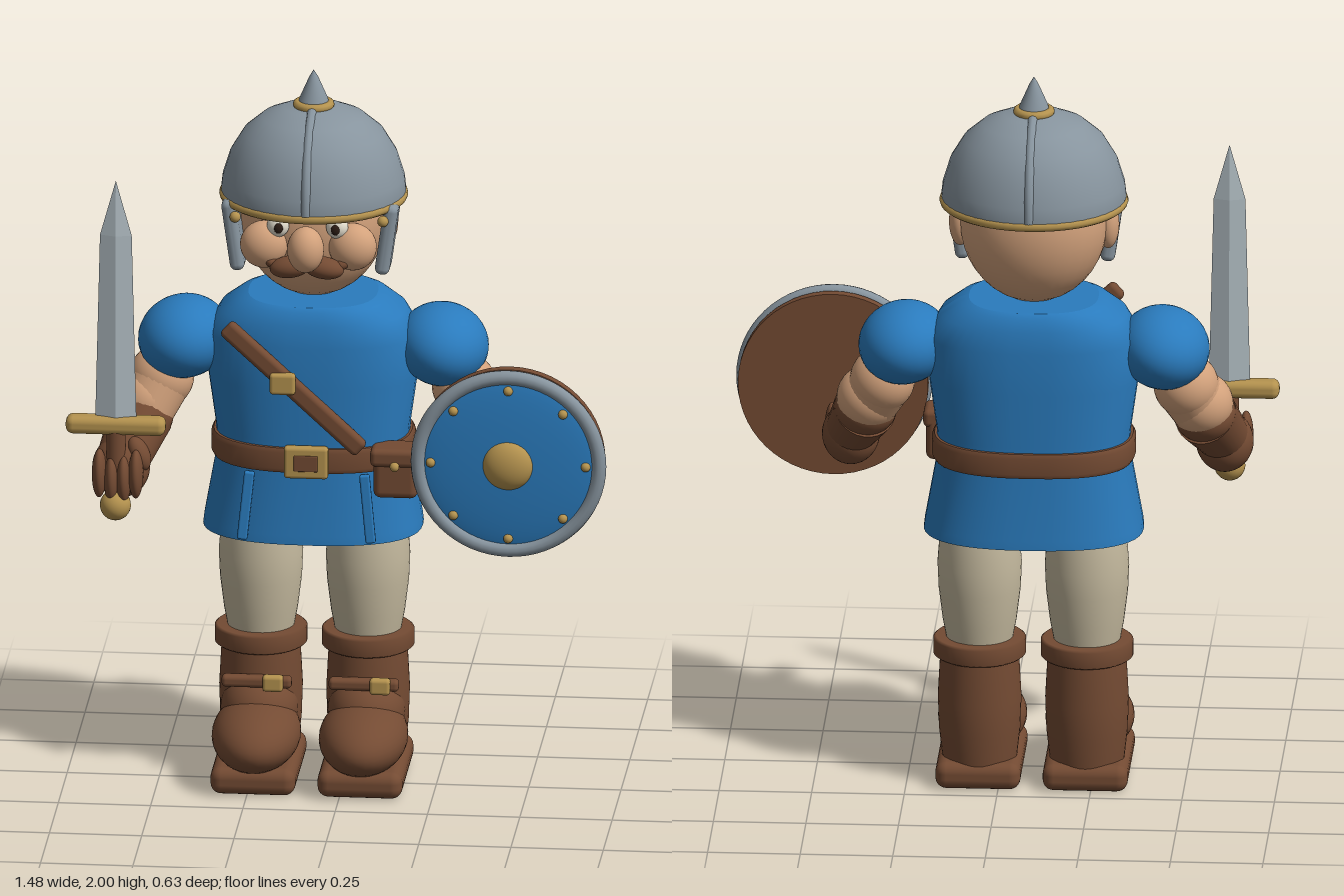
import * as THREE from 'three';
import { RoundedBoxGeometry } from 'three/addons/geometries/RoundedBoxGeometry.js';

const mat = (name, color, side = THREE.FrontSide) => {
  const m = new THREE.MeshStandardMaterial({ color, side });
  m.name = name;
  return m;
};

export function createModel() {
  const blue = mat('tunic blue', 0x2a7bbd);
  const steel = mat('helmet steel', 0x87949e, THREE.DoubleSide);
  const bladeSteel = mat('blade steel', 0xb0bcc2);
  const brown = mat('boot brown', 0x744b33);
  const gold = mat('brass', 0xb5934f);
  const skin = mat('skin', 0xd3a27c);
  const cream = mat('trouser cream', 0xc4b99e);
  const dark = mat('dark eye', 0x2b1c14);
  const eyeWhite = mat('eye white', 0xe6e0d0);

  const model = new THREE.Group();
  const body = new THREE.Group();
  body.name = 'soldier';
  body.position.x = -0.09;
  model.add(body);

  const V = (x, y, z) => new THREE.Vector3(x, y, z);
  const put = (name, geo, m, x = 0, y = 0, z = 0, parent = body) => {
    const mesh = new THREE.Mesh(geo, m);
    mesh.name = name;
    mesh.position.set(x, y, z);
    parent.add(mesh);
    return mesh;
  };
  const ball = (name, m, x, y, z, rx, ry = rx, rz = rx) =>
    put(name, new THREE.SphereGeometry(1, 32, 20).scale(rx, ry, rz), m, x, y, z);
  const box = (name, m, x, y, z, w, h, d, r = 0.01) =>
    put(name, new RoundedBoxGeometry(w, h, d, 3, r), m, x, y, z);
  const limb = (name, m, a, b, ra, rb) => {
    const mid = a.clone().add(b).multiplyScalar(0.5), dir = b.clone().sub(a);
    const mesh = put(name, new THREE.CylinderGeometry(rb, ra, dir.length(), 28), m, mid.x, mid.y, mid.z);
    mesh.quaternion.setFromUnitVectors(V(0, 1, 0), dir.normalize());
    return mesh;
  };
  const lathe = (pts) => new THREE.LatheGeometry(pts.map((p) => new THREE.Vector2(...p)), 40);

  // Loft of squarish ovals [y, rx, rz], closed at both ends
  const loft = (rows, n = 48, power = 2.5) => {
    const pos = [], idx = [];
    const row = (y, rx, rz) => {
      for (let i = 0; i <= n; i++) {
        const t = (i / n) * Math.PI * 2, c = Math.cos(t), s = Math.sin(t);
        pos.push(rx * Math.sign(c) * Math.abs(c) ** (2 / power), y, rz * Math.sign(s) * Math.abs(s) ** (2 / power));
      }
    };
    const [first, last] = [rows[0], rows[rows.length - 1]];
    const all = [[first[0], 0, 0], first, ...rows, last, [last[0], 0, 0]];
    all.forEach((r) => row(...r));
    for (let j = 0; j < all.length - 1; j++) {
      if (j === 1 || j === all.length - 3) continue;
      for (let i = 0; i < n; i++) {
        const a = j * (n + 1) + i, b = a + n + 1;
        idx.push(a, b, a + 1, b, b + 1, a + 1);
      }
    }
    const g = new THREE.BufferGeometry();
    g.setAttribute('position', new THREE.Float32BufferAttribute(pos, 3));
    g.setIndex(idx);
    g.computeVertexNormals();
    return g;
  };

  // Tunic and belt
  put('tunic', loft([[0.715, 0.297, 0.208], [0.74, 0.294, 0.207], [0.93, 0.26, 0.19], [1, 0.262, 0.19],
    [1.15, 0.283, 0.195], [1.27, 0.286, 0.195], [1.33, 0.25, 0.185], [1.365, 0.2, 0.17], [1.375, 0.175, 0.155]]),
  blue, 0, 0, -0.075);
  put('belt', loft([[0.918, 0.268, 0.2], [0.93, 0.275, 0.205], [0.975, 0.275, 0.205], [0.987, 0.268, 0.2]]),
    brown, 0, 0, -0.075);
  box('beltBuckle', gold, 0, 0.953, 0.133, 0.12, 0.09, 0.03);
  box('buckleCentre', brown, 0, 0.953, 0.147, 0.065, 0.045, 0.009, 0.003);
  box('pouch', brown, 0.24, 0.92, 0.085, 0.12, 0.135, 0.09, 0.02);
  box('pouchFlap', brown, 0.24, 0.97, 0.09, 0.135, 0.05, 0.1, 0.015);
  ball('pouchButton', gold, 0.24, 0.95, 0.142, 0.013);
  for (const s of [-1, 1]) {
    const fold = box('skirtFold', blue, s * 0.165, 0.82, 0.118, 0.028, 0.19, 0.02, 0.006);
    fold.rotation.set(-0.08, 0, s * 0.1);
  }

  // Diagonal chest strap
  const strap = box('chestStrap', brown, -0.035, 1.16, 0.125, 0.052, 0.5, 0.035, 0.014);
  strap.rotation.z = 0.825;
  box('strapBuckle', gold, -0.063, 1.178, 0.142, 0.07, 0.06, 0.028);

  // Head and face
  ball('head', skin, 0, 1.59, -0.08, 0.2, 0.225, 0.172);
  ball('nose', skin, 0, 1.565, 0.15, 0.05, 0.064, 0.052);
  for (const s of [-1, 1]) {
    ball('ear', skin, s * 0.2, 1.58, -0.07, 0.03, 0.068, 0.038);
    ball('cheek', skin, s * 0.12, 1.55, 0.07, 0.065, 0.065, 0.055);
    ball('eye', eyeWhite, s * 0.08, 1.612, 0.09, 0.03, 0.033, 0.025);
    ball('pupil', dark, s * 0.077, 1.61, 0.112, 0.012, 0.015, 0.007);
    ball('moustache', brown, s * 0.045, 1.503, 0.115, 0.056, 0.03, 0.035).rotation.z = -s * 0.15;
    ball('moustacheTip', brown, s * 0.09, 1.508, 0.1, 0.028, 0.016, 0.022).rotation.z = s * 0.45;
    const flap = box('cheekGuard', steel, s * 0.208, 1.56, 0, 0.04, 0.2, 0.1, 0.018);
    flap.rotation.z = -s * 0.14;
    ball('guardRivet', gold, s * 0.2, 1.618, 0.052, 0.015);
  }

  // Helmet
  const helmet = put('helmet', lathe([[0.248, 1.645], [0.25, 1.665], [0.246, 1.7], [0.226, 1.765], [0.19, 1.825],
    [0.14, 1.868], [0.08, 1.894], [0, 1.903]]), steel, 0, 0, -0.08);
  helmet.scale.z = 0.94;
  const rim = put('helmetRim', new THREE.TorusGeometry(0.242, 0.013, 10, 56).rotateX(Math.PI / 2), gold, 0, 1.65, -0.08);
  rim.scale.z = 0.94;
  const ridge = new THREE.TorusGeometry(0.242, 0.012, 8, 40, Math.PI).rotateY(Math.PI / 2).scale(1.1, 1, 0.95);
  put('helmetRidge', ridge, steel, 0, 1.66, -0.08);
  put('spikeCollar', new THREE.TorusGeometry(0.044, 0.012, 10, 32).rotateX(Math.PI / 2), gold, 0, 1.902, -0.08);
  put('spike', lathe([[0.045, 1.895], [0.038, 1.92], [0.012, 1.98], [0, 2]]), steel, 0, 0, -0.08);

  for (const s of [-1, 1]) {
    // Arms with gloved hands
    const elbow = V(s * 0.41, 1.12, -0.06), wrist = V(s * 0.46, 1.02, -0.015), hand = V(s * 0.505, 0.92, 0.09);
    ball('sleeve', blue, s * 0.35, 1.232, -0.073, 0.125, 0.11, 0.15).rotation.z = -s * 0.2;
    ball('elbow', skin, elbow.x, elbow.y, elbow.z, 0.088);
    limb('forearm', skin, elbow, wrist, 0.086, 0.078);
    ball('forearmMuscle', skin, s * 0.45, 1.06, -0.035, 0.086);
    limb('gloveCuff', brown, wrist, hand, 0.086, 0.07);
    ball('gloveCuffEdge', brown, wrist.x, wrist.y, wrist.z, 0.086, 0.075, 0.086);
    ball('fist', brown, hand.x, hand.y - 0.01, hand.z, 0.078, 0.085, 0.075);
    for (let i = 0; i < 4; i++)
      ball('finger', brown, s * (0.46 + i * 0.033), 0.9 + (i % 3 ? -0.008 : 0.008), 0.145, 0.02, 0.068, 0.042);
    ball('thumb', brown, s * 0.455, 0.955, 0.11, 0.028, 0.05, 0.035).rotation.z = -s * 0.4;

    // Legs and boots
    const x = s * 0.145, z = -0.105;
    put('trouserLeg', lathe([[0.085, 0.38], [0.1, 0.46], [0.111, 0.55], [0.114, 0.62], [0.108, 0.7], [0.095, 0.78]]),
      cream, x, 0, z);
    put('bootCuff', lathe([[0, 0.357], [0.118, 0.357], [0.125, 0.363], [0.125, 0.405], [0.118, 0.411], [0, 0.411]]),
      brown, x, 0, z);
    put('bootShaft', lathe([[0.1, 0.06], [0.11, 0.15], [0.113, 0.24], [0.106, 0.37]]), brown, x, 0, z);
    const foot = ball('bootFoot', brown, x, 0.14, 0.025, 0.12, 0.092, 0.19);
    foot.rotation.x = 0.06;
    ball('bootInstep', brown, x, 0.19, -0.06, 0.105, 0.1, 0.12);
    box('sole', brown, x, 0.0375, -0.03, 0.23, 0.075, 0.37, 0.03);
    box('bootStrap', brown, x, 0.284, 0.015, 0.19, 0.033, 0.035, 0.012);
    box('bootBuckle', gold, x + 0.045, 0.284, 0.03, 0.056, 0.045, 0.03);
  }

  // Sword: diamond section blade, guard, grip and pommel
  const sword = new THREE.Group();
  sword.name = 'sword';
  sword.position.set(-0.605, 0, 0.137);
  model.add(sword);
  const bladePart = (name, rTop, rBottom, y0, y1) => put(name,
    new THREE.CylinderGeometry(rTop, rBottom, y1 - y0, 4, 1).toNonIndexed().scale(1, 1, 0.3),
    bladeSteel, 0, (y0 + y1) / 2, 0, sword).geometry.computeVertexNormals();
  bladePart('blade', 0.043, 0.056, 1.05, 1.585);
  bladePart('bladeTip', 0, 0.043, 1.585, 1.74);
  put('crossGuard', new RoundedBoxGeometry(0.27, 0.05, 0.058, 3, 0.02), gold, 0, 1.045, 0, sword);
  put('grip', new THREE.CylinderGeometry(0.026, 0.026, 0.22, 20), brown, 0, 0.93, 0, sword);
  put('pommel', new THREE.SphereGeometry(0.042, 24, 16), gold, 0, 0.82, 0.012, sword);

  // Round shield
  const shield = new THREE.Group();
  shield.name = 'shield';
  shield.position.set(0.47, 1.01, 0);
  model.add(shield);
  put('shieldBack', new THREE.CylinderGeometry(0.257, 0.257, 0.028, 56).rotateX(Math.PI / 2), brown, 0, 0, 0.212, shield);
  put('shieldFace', new THREE.SphereGeometry(1, 48, 24).scale(0.25, 0.25, 0.028), blue, 0, 0, 0.252, shield);
  put('shieldRim', new THREE.TorusGeometry(0.245, 0.02, 12, 64), steel, 0, 0, 0.257, shield);
  put('shieldBoss', new THREE.SphereGeometry(1, 32, 20).scale(0.07, 0.07, 0.042), gold, 0, 0, 0.268, shield);
  for (let i = 0; i < 8; i++) {
    const a = (i * Math.PI) / 4;
    put('shieldRivet', new THREE.SphereGeometry(0.013, 14, 10), gold, Math.cos(a) * 0.21, Math.sin(a) * 0.21, 0.268, shield);
  }
  return model;
}
